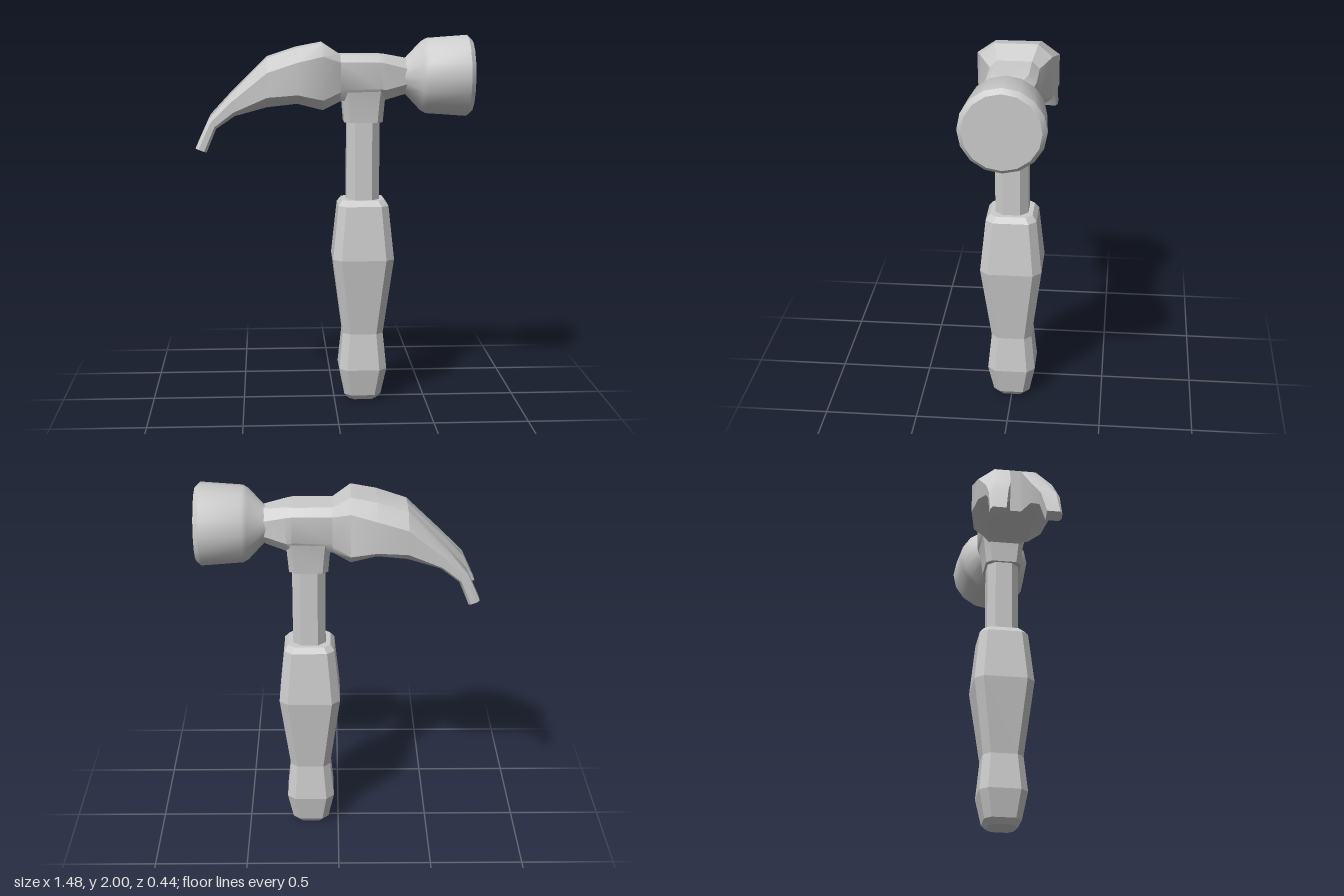
import * as THREE from 'three';
import { toCreasedNormals } from 'three/addons/utils/BufferGeometryUtils.js';

const material = new THREE.MeshStandardMaterial({ color: 0xcccccc });
const HANDLE_X = 0.155;

// Skin a row of convex loops (arrays of [x, y, z]) and cap both ends.
function loft(name, loops, crease) {
  const n = loops[0].length;
  const positions = loops.flat(2);
  const index = [];
  for (let i = 0; i < loops.length - 1; i++) {
    for (let j = 0; j < n; j++) {
      const a = i * n + j, b = i * n + (j + 1) % n;
      index.push(a, b, b + n, a, b + n, a + n);
    }
  }
  const last = (loops.length - 1) * n;
  for (let j = 1; j < n - 1; j++) {
    index.push(0, j + 1, j, last, last + j, last + j + 1);
  }
  // Turn the faces outward when the signed volume is negative.
  const p = (i) => new THREE.Vector3().fromArray(positions, i * 3);
  const origin = p(0);
  let volume = 0;
  for (let i = 0; i < index.length; i += 3) {
    const [a, b, c] = [0, 1, 2].map((k) => p(index[i + k]).sub(origin));
    volume += a.dot(b.cross(c));
  }
  if (volume < 0) index.reverse();
  const geometry = new THREE.BufferGeometry();
  geometry.setAttribute('position', new THREE.Float32BufferAttribute(positions, 3));
  geometry.setIndex(index);
  const mesh = new THREE.Mesh(toCreasedNormals(geometry, crease), material);
  mesh.name = name;
  return mesh;
}

// Horizontal rectangle with cut corners.
function octagonY(y, hx, hz, cut) {
  return [
    [hx, hz - cut], [hx - cut, hz], [cut - hx, hz], [-hx, hz - cut],
    [-hx, cut - hz], [cut - hx, -hz], [hx - cut, -hz], [hx, cut - hz],
  ].map(([x, z]) => [HANDLE_X + x, y, z]);
}

// Cross-section of the head: runs from top point to bottom point, z0 to z1,
// with bevels on the sides that are marked as outer.
function headSection({ top, bottom, z0, z1, a, b, bevel0, bevel1 }) {
  const at = (t, z) => [
    THREE.MathUtils.lerp(top[0], bottom[0], t),
    THREE.MathUtils.lerp(top[1], bottom[1], t), z];
  return [
    at(0, z0 + bevel0), at(0, z1 - bevel1),
    at(bevel1 ? a : 0.04, z1), at(bevel1 ? b : 0.96, z1),
    at(1, z1 - bevel1), at(1, z0 + bevel0),
    at(bevel0 ? b : 0.96, z0), at(bevel0 ? a : 0.04, z0),
  ];
}

const wide = (top, bottom, w, a, b, bevel) =>
  headSection({ top, bottom, z0: -w, z1: w, a, b, bevel0: bevel, bevel1: bevel });

export function createModel() {
  const model = new THREE.Group();
  model.name = 'hammer';

  // Grip: height, half width, corner cut
  const grip = [
    [0, 0.075, 0.03], [0.03, 0.1, 0.035], [0.18, 0.13, 0.042], [0.38, 0.11, 0.038],
    [0.8, 0.165, 0.045], [1.09, 0.135, 0.04], [1.12, 0.113, 0.035],
  ];
  model.add(loft('grip', grip.map(([y, h, c]) => octagonY(y, h, h, c)), 0.2));

  // Shaft
  model.add(loft('shaft', [1.1, 1.6].map((y) => octagonY(y, 0.088, 0.088, 0.042)), 0.2));

  // Socket where the shaft enters the head
  model.add(loft('socket', [
    octagonY(1.54, 0.103, 0.1, 0.03),
    octagonY(1.66, 0.113, 0.112, 0.03),
    octagonY(1.74, 0.122, 0.128, 0.03),
  ], 0.5));

  // Head body, narrowing to the neck
  model.add(loft('headBody', [
    wide([0.03, 1.9], [0.03, 1.655], 0.13, 0.16, 0.75, 0.04),
    wide([0.24, 1.9], [0.24, 1.66], 0.13, 0.16, 0.75, 0.04),
    wide([0.27, 1.898], [0.27, 1.66], 0.123, 0.18, 0.77, 0.045),
    wide([0.385, 1.878], [0.385, 1.69], 0.092, 0.28, 0.72, 0.05),
  ], 0.6));

  // Striking face, turned about the x axis
  const profile = [
    [0, 0.36], [0.09, 0.36], [0.1, 0.385], [0.185, 0.465], [0.202, 0.495],
    [0.218, 0.715], [0.195, 0.74], [0, 0.74],
  ].map(([r, x]) => new THREE.Vector2(r, x));
  const poll = new THREE.LatheGeometry(profile, 16);
  poll.deleteAttribute('normal');
  const face = new THREE.Mesh(toCreasedNormals(poll, 0.6), material);
  face.name = 'strikingFace';
  face.rotation.z = -Math.PI / 2;
  face.position.y = 1.783;
  model.add(face);

  // Solid root of the claw
  model.add(loft('clawRoot', [
    wide([0.03, 1.9], [0.03, 1.655], 0.13, 0.16, 0.8, 0.04),
    wide([-0.065, 1.962], [-0.065, 1.61], 0.19, 0.19, 0.84, 0.075),
    wide([-0.2, 1.936], [-0.2, 1.645], 0.22, 0.24, 0.82, 0.1),
    wide([-0.36, 1.884], [-0.36, 1.627], 0.204, 0.28, 0.78, 0.09),
  ], 0.6));

  // Two prongs: top point, bottom point, inner z, outer z, outer bevel
  const prong = [
    [[-0.36, 1.884], [-0.36, 1.627], 0.03, 0.204, 0.09],
    [[-0.56, 1.685], [-0.53, 1.583], 0.056, 0.187, 0.05],
    [[-0.67, 1.565], [-0.627, 1.52], 0.085, 0.187, 0.02],
    [[-0.738, 1.417], [-0.68, 1.395], 0.105, 0.187, 0.012],
  ];
  for (const side of [1, -1]) {
    const loops = prong.map(([top, bottom, z0, z1, bevel1]) =>
      headSection({ top, bottom, z0, z1, a: 0.28, b: 0.78, bevel0: 0, bevel1 })
        .map(([x, y, z]) => [x, y, z * side]));
    model.add(loft(side > 0 ? 'leftProng' : 'rightProng', loops, 0.6));
  }
  return model;
}
